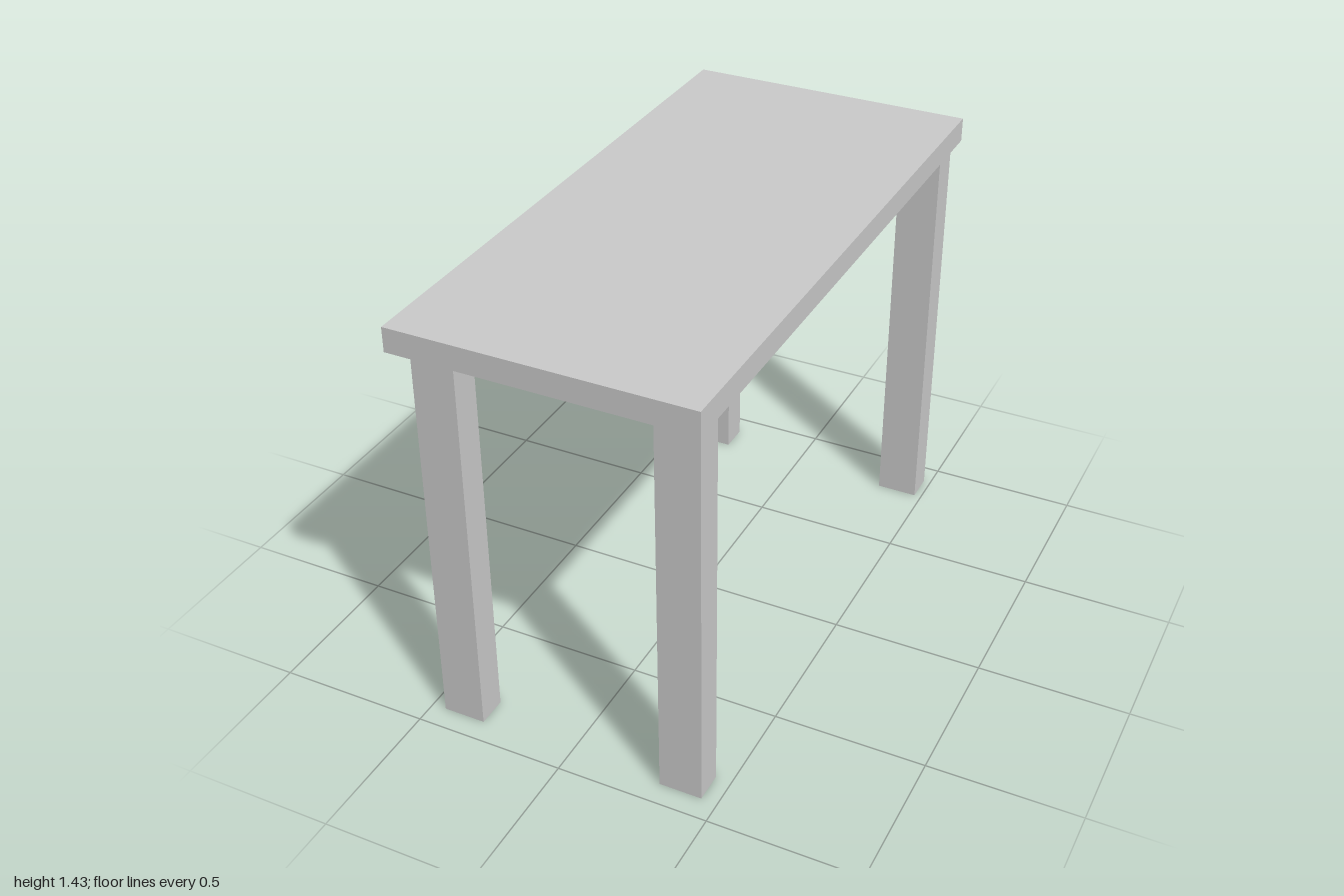
import * as THREE from 'three';

const material = new THREE.MeshStandardMaterial({ color: 0xcccccc, flatShading: true });

// Box placed by its centre in x and z and by its bottom in y
function box(name, [w, h, d], [x, bottom, z]) {
  const mesh = new THREE.Mesh(new THREE.BoxGeometry(w, h, d), material);
  mesh.name = name;
  mesh.position.set(x, bottom + h / 2, z);
  return mesh;
}

export function createModel() {
  const table = new THREE.Group();
  table.name = 'table';

  const legHeight = 1.352;
  table.add(box('tableTop', [0.966, 0.08, 2], [0, legHeight, 0]));

  // Leg pairs: the back pair sits slightly further towards +x
  const pairs = [
    { name: 'front', x: -0.003, z: 0.873 },
    { name: 'back', x: 0.025, z: -0.866 },
  ];
  for (const pair of pairs) {
    for (const [side, sign] of [['Left', 1], ['Right', -1]]) {
      table.add(box(`${pair.name}${side}Leg`, [0.14, legHeight, 0.102], [pair.x + sign * 0.38, 0, pair.z]));
    }
  }
  return table;
}
